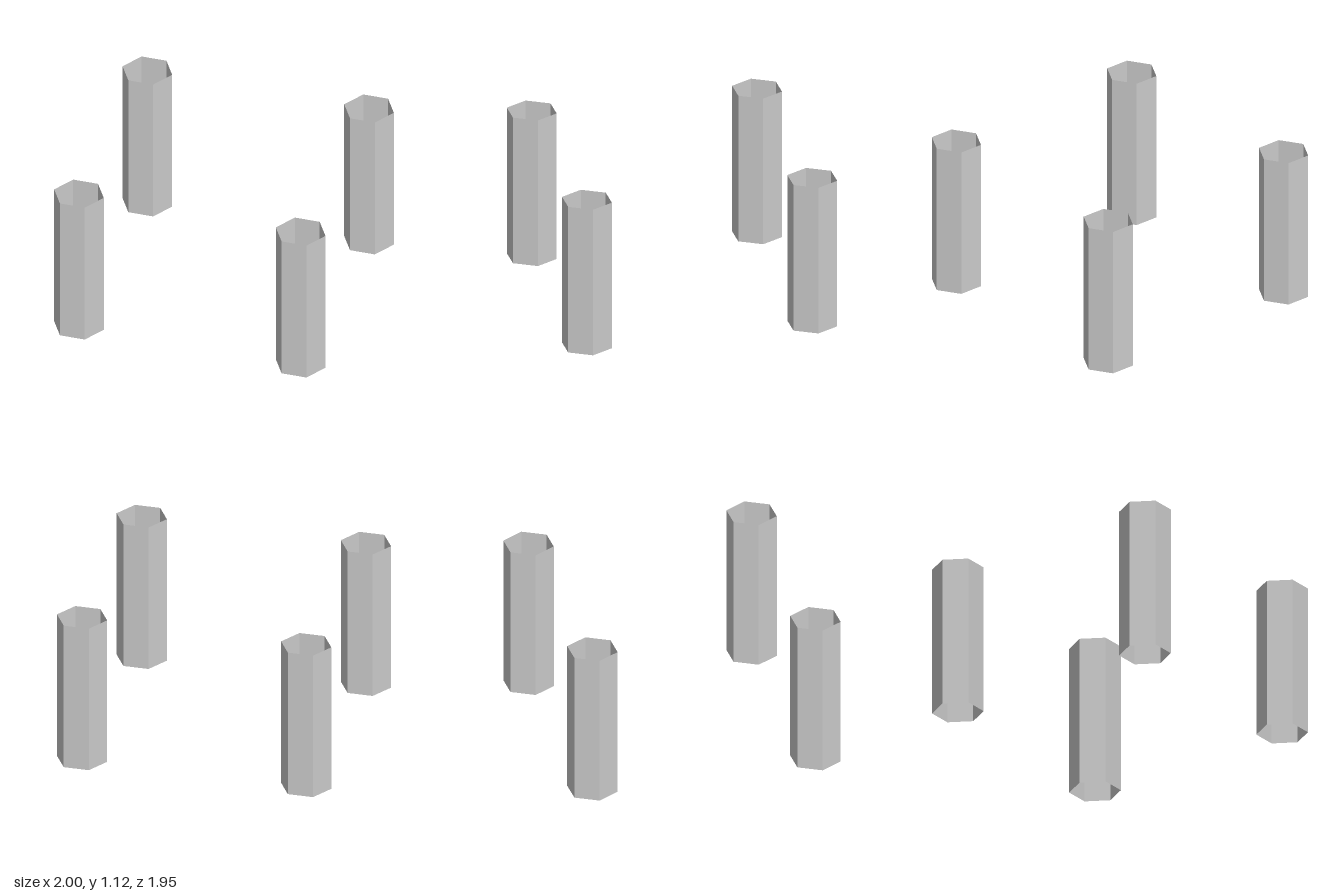
import * as THREE from 'three';

const RADIUS = 0.183;  // corner radius of a hexagonal tube
const HEIGHT = 1.117;
const OFFSET = 0.817;  // distance of each tube axis from the centre planes

export function createModel() {
  const model = new THREE.Group();
  model.name = 'hexagonalLegs';

  const material = new THREE.MeshStandardMaterial({
    color: 0xcccccc,
    flatShading: true,
    side: THREE.DoubleSide,
  });

  // Open six-sided tube with corners pointing along x, standing on y = 0
  const tube = new THREE.CylinderGeometry(RADIUS, RADIUS, HEIGHT, 6, 1, true, Math.PI / 6);
  tube.translate(0, HEIGHT / 2, 0);

  // One leg at each corner of a square
  for (const [xName, x] of [['Left', 1], ['Right', -1]]) {
    for (const [zName, z] of [['front', 1], ['back', -1]]) {
      const leg = new THREE.Mesh(tube, material);
      leg.name = `${zName}${xName}Leg`;
      leg.position.set(x * OFFSET, 0, z * OFFSET);
      model.add(leg);
    }
  }

  return model;
}
